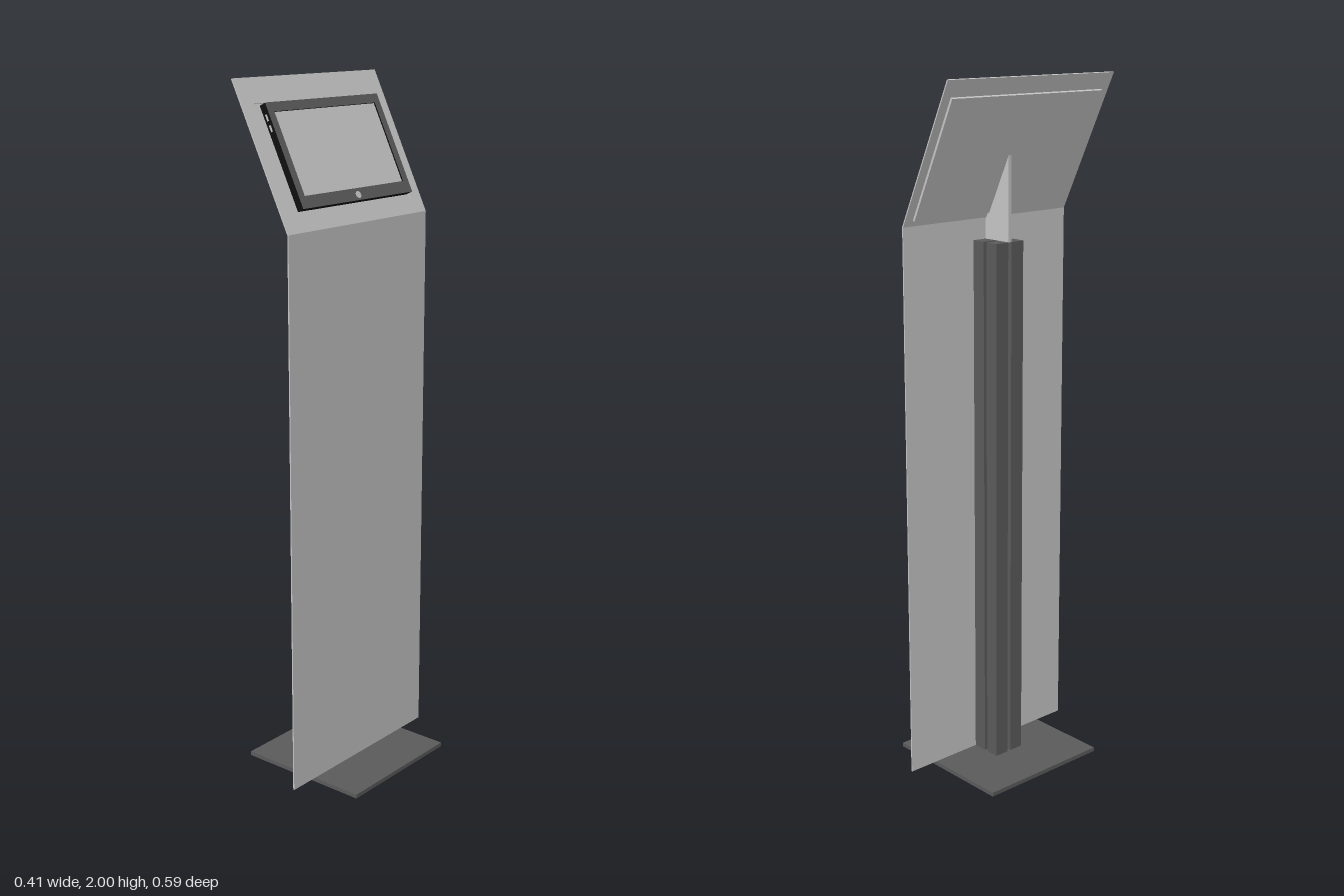
import * as THREE from 'three';

const mat = (name, color) => {
  const m = new THREE.MeshStandardMaterial({ color });
  m.name = name;
  return m;
};

export function createModel() {
  const model = new THREE.Group();
  model.name = 'tabletKiosk';
  const silver = mat('silver', 0xc4c4c4);
  const darkGrey = mat('dark grey', 0x5a5a5a);
  const black = mat('black', 0x0e0e0e);

  const add = (parent, name, geometry, material) => {
    const mesh = new THREE.Mesh(geometry, material);
    mesh.name = name;
    parent.add(mesh);
    return mesh;
  };
  // Box given by its minimum and maximum corners
  const box = (parent, name, material, a, b) => {
    const mesh = add(parent, name, new THREE.BoxGeometry(b[0] - a[0], b[1] - a[1], b[2] - a[2]), material);
    mesh.position.set((a[0] + b[0]) / 2, (a[1] + b[1]) / 2, (a[2] + b[2]) / 2);
    return mesh;
  };
  const rect = (target, w, y0, y1) => {
    target.moveTo(-w, y0);
    target.lineTo(w, y0);
    target.lineTo(w, y1);
    target.lineTo(-w, y1);
    target.closePath();
    return target;
  };
  // Rectangular plate with a rectangular opening, from depth z0 to z1
  const frame = (parent, name, material, outer, inner, z0, z1) => {
    const shape = rect(new THREE.Shape(), ...outer);
    shape.holes.push(rect(new THREE.Path(), ...inner));
    const geometry = new THREE.ExtrudeGeometry(shape, { depth: z1 - z0, bevelEnabled: false });
    add(parent, name, geometry, material).position.z = z0;
  };

  // Base plate and upright sheet
  box(model, 'basePlate', darkGrey, [-0.205, 0, -0.205], [0.205, 0.012, 0.205]);
  box(model, 'uprightPanel', silver, [0.046, 0.012, -0.297], [0.05, 1.61, 0.297]);

  // Column made of four bars with slots between them
  for (const [x0, x1] of [[-0.048, -0.007], [0.004, 0.046]]) {
    for (const [z0, z1] of [[-0.05, -0.006], [0.006, 0.05]]) {
      box(model, 'columnBar', darkGrey, [x0, 0.012, z0], [x1, 1.55, z1]);
    }
  }

  // Wedge bracket that carries the tilted panel
  const wedge = new THREE.Shape();
  wedge.moveTo(-0.048, 1.55);
  wedge.lineTo(0.046, 1.55);
  wedge.lineTo(0.046, 1.605);
  wedge.lineTo(-0.048, 1.79);
  wedge.closePath();
  add(model, 'bracket', new THREE.ExtrudeGeometry(wedge, { depth: 0.01, bevelEnabled: false }), silver)
    .position.z = -0.005;

  // Tilted head: local y runs up the slope, local z points out of the screen
  const head = new THREE.Group();
  head.name = 'tiltedHead';
  const up = new THREE.Vector3(-0.19, 0.39, 0).normalize();
  const out = new THREE.Vector3(up.y, -up.x, 0);
  head.quaternion.setFromRotationMatrix(
    new THREE.Matrix4().makeBasis(new THREE.Vector3(0, 0, -1), up, out));
  head.position.set(0.05, 1.61, 0);
  model.add(head);

  frame(head, 'tiltedPanel', silver, [0.297, 0, 0.433], [0.25, 0.042, 0.36], -0.004, 0);
  box(head, 'backTray', silver, [-0.27, 0.02, -0.011], [0.27, 0.383, -0.004]);

  // Tablet with recessed screen
  const outer = [0.234, 0.056, 0.352];
  const inner = [0.212, 0.09, 0.326];
  box(head, 'tabletMount', black, [-0.06, 0.15, -0.004], [0.06, 0.26, 0.003]);
  box(head, 'tabletBody', black, [-0.234, 0.056, 0.003], [0.234, 0.352, 0.018]);
  frame(head, 'tabletRim', black, outer, inner, 0.018, 0.024);
  frame(head, 'tabletBezel', darkGrey, outer, inner, 0.024, 0.025);
  box(head, 'screen', silver, [-0.212, 0.09, 0.018], [0.212, 0.326, 0.02]);
  const button = add(head, 'homeButton', new THREE.CylinderGeometry(0.01, 0.01, 0.002, 24), silver);
  button.rotation.x = Math.PI / 2;
  button.position.set(0, 0.071, 0.0255);

  // Small keys on the tablet's side
  for (const y of [0.275, 0.305]) {
    box(head, 'sideKey', silver, [-0.236, y, 0.011], [-0.234, y + 0.018, 0.016]);
  }
  return model;
}
